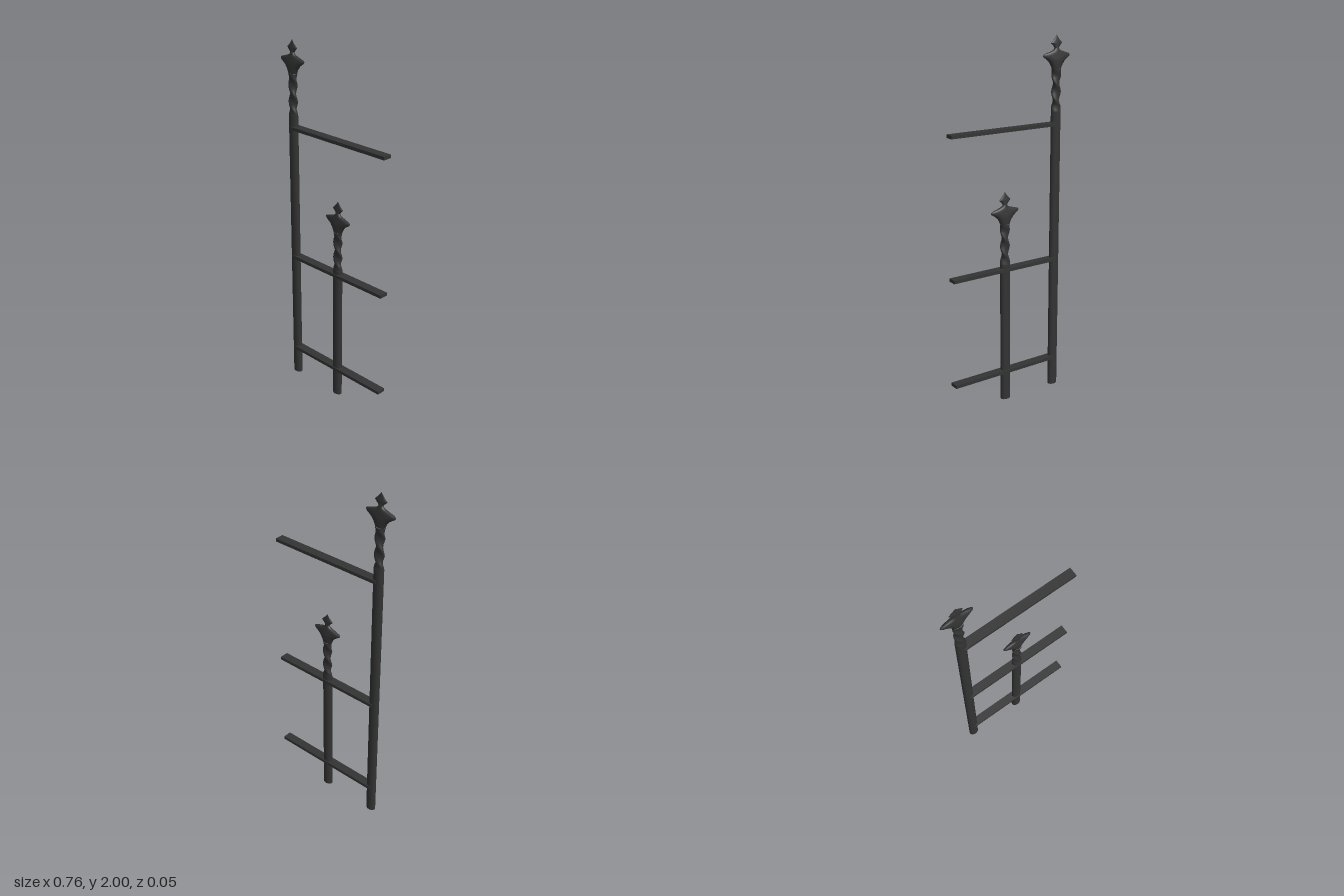
import * as THREE from 'three';

const iron = new THREE.MeshStandardMaterial({ color: 0x333333 });
iron.name = 'dark iron';

const SIDES = 16;

// Skin over stacked sections: [y, half width, half depth, twist angle, flattening]
function loft(sections) {
  const pos = [], index = [];
  sections.forEach(([y, w, d, twist = 0, flat = 1], r) => {
    for (let i = 0; i < SIDES; i++) {
      const a = (i / SIDES) * Math.PI * 2;
      const u = Math.cos(a), v = Math.sin(a) * flat;
      const c = Math.cos(twist), s = Math.sin(twist);
      pos.push(w * (u * c - v * s), y, d * (u * s + v * c));
      if (r === 0) continue;
      const j = (i + 1) % SIDES, lo = (r - 1) * SIDES, hi = r * SIDES;
      index.push(lo + i, hi + i, lo + j, lo + j, hi + i, hi + j);
    }
  });
  const geo = new THREE.BufferGeometry();
  geo.setAttribute('position', new THREE.Float32BufferAttribute(pos, 3));
  geo.setIndex(index);
  geo.computeVertexNormals();
  return geo;
}

function addMesh(group, geo, name) {
  const mesh = new THREE.Mesh(geo, iron);
  mesh.name = name;
  group.add(mesh);
  return mesh;
}

// Post with oval shaft, twisted neck, flared head and pointed finial
function makePost(name, x, height) {
  const post = new THREE.Group();
  post.name = name;
  post.position.x = x;

  const shaftTop = height - 0.4;
  const shaft = addMesh(post, new THREE.CylinderGeometry(1, 1, shaftTop, SIDES), 'shaft');
  shaft.scale.set(0.029, 1, 0.021);
  shaft.position.y = shaftTop / 2;

  // Twist: a flattened section turning two and a half half-turns
  const rows = 30, twist = [];
  for (let i = 0; i <= rows; i++) {
    const t = i / rows;
    const flat = 1 - 0.35 * Math.min(1, t * 6, (1 - t) * 6);
    twist.push([shaftTop + 0.225 * t, 0.029, 0.02, t * Math.PI * 2.5, flat]);
  }
  addMesh(post, loft(twist), 'twistedNeck');

  // Head: flares sideways to blunt wings, closing to a thin stem
  const head = [
    [-0.175, 0.028, 0.018], [-0.155, 0.037, 0.02], [-0.135, 0.052, 0.02],
    [-0.122, 0.07, 0.019], [-0.112, 0.086, 0.017], [-0.105, 0.089, 0.016],
    [-0.098, 0.084, 0.015], [-0.09, 0.058, 0.014], [-0.083, 0.034, 0.013],
    [-0.076, 0.018, 0.012], [-0.066, 0.012, 0.011],
  ];
  addMesh(post, loft(head.map(([y, w, d]) => [height + y, w, d])), 'flaredHead');

  // Finial: diamond outline, split at its widest line to keep the edge crisp
  const lower = [[-0.066, 0.012, 0.011], [-0.055, 0.022, 0.009], [-0.041, 0.037, 0.008]];
  const upper = [[-0.041, 0.037, 0.008], [-0.022, 0.017, 0.005], [0, 0.0005, 0.0005]];
  [lower, upper].forEach((part, i) =>
    addMesh(post, loft(part.map(([y, w, d]) => [height + y, w, d])), i ? 'finialTip' : 'finialBase'));
  return post;
}

export function createModel() {
  const model = new THREE.Group();
  model.name = 'fenceSection';

  model.add(makePost('tallPost', -0.29, 2));
  model.add(makePost('shortPost', 0.042, 1.2));

  // Flat rails running from the tall post
  [['lowerRail', 0.17], ['middleRail', 0.77], ['upperRail', 1.532]].forEach(([name, y]) => {
    const rail = addMesh(model, new THREE.BoxGeometry(0.67, 0.018, 0.05), name);
    rail.position.set(0.043, y, 0);
  });
  return model;
}
